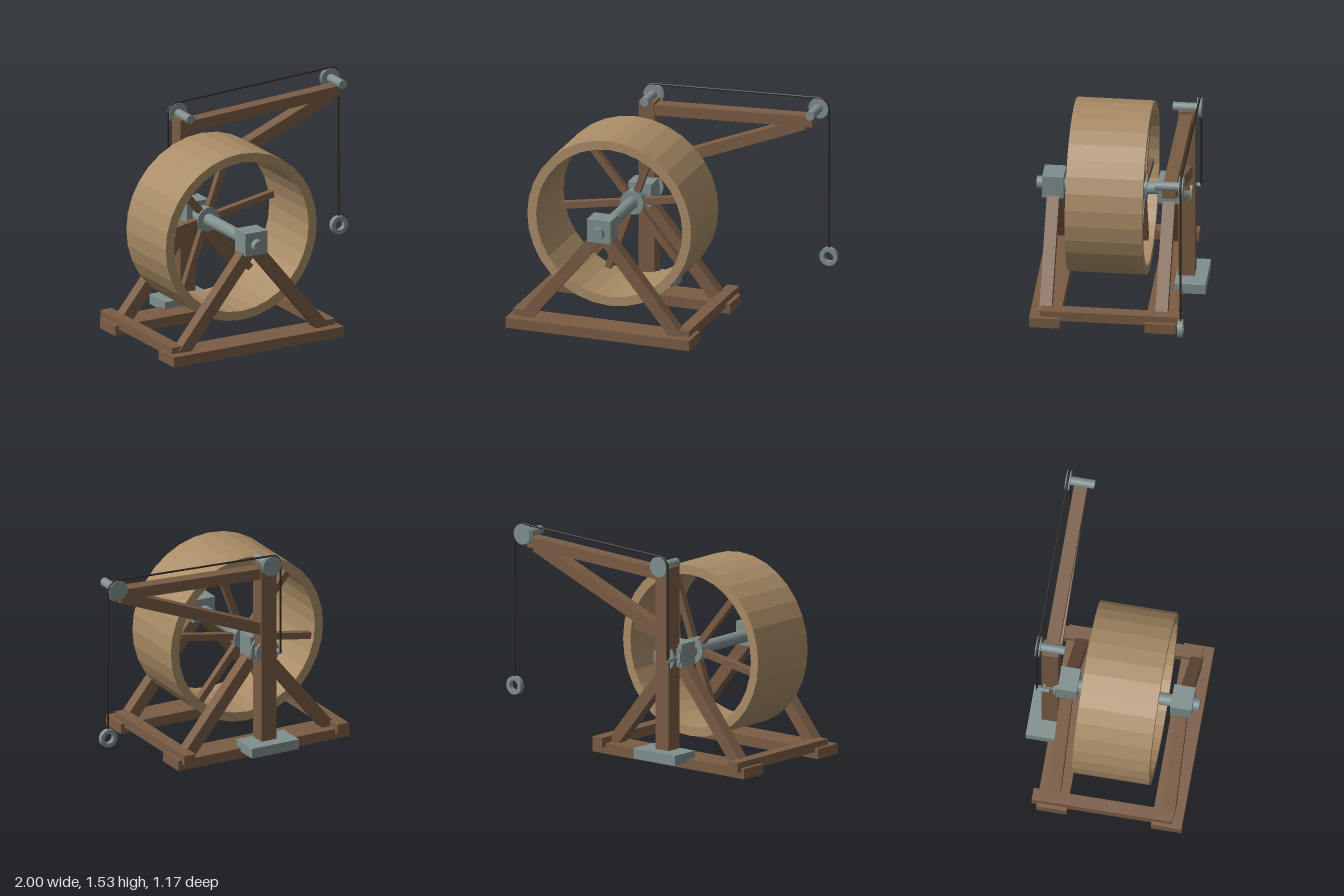
import * as THREE from 'three';
import { toCreasedNormals } from 'three/addons/utils/BufferGeometryUtils.js';

const make = (name, color) => {
  const m = new THREE.MeshStandardMaterial({ color });
  m.name = name;
  return m;
};

export function createModel() {
  const model = new THREE.Group();
  model.name = 'treadwheelCrane';
  const wood = make('dark wood', 0x7a5c44);
  const paleWood = make('pale wood', 0xa98c66);
  const metal = make('grey metal', 0x7f8f8e);
  const ropeMat = make('dark rope', 0x2c2822);

  const add = (name, geo, mat) => {
    const mesh = new THREE.Mesh(geo, mat);
    mesh.name = name;
    model.add(mesh);
    return mesh;
  };
  // Box given by its limits on each axis
  const box = (name, mat, x0, x1, y0, y1, z0, z1) =>
    add(name, new THREE.BoxGeometry(x1 - x0, y1 - y0, z1 - z0), mat)
      .position.set((x0 + x1) / 2, (y0 + y1) / 2, (z0 + z1) / 2);
  // Beam in the xy plane between two points
  const beam = (name, mat, ax, ay, bx, by, thick, z0, z1) => {
    const m = add(name, new THREE.BoxGeometry(Math.hypot(bx - ax, by - ay), thick, z1 - z0), mat);
    m.position.set((ax + bx) / 2, (ay + by) / 2, (z0 + z1) / 2);
    m.rotation.z = Math.atan2(by - ay, bx - ax);
  };
  // Round bar along z
  const rod = (name, mat, x, y, r, z0, z1) =>
    add(name, new THREE.CylinderGeometry(r, r, z1 - z0, 24).rotateX(Math.PI / 2), mat)
      .position.set(x, y, (z0 + z1) / 2);
  // Turned part along z; profile is [radius, z] with z rising along the outside
  const turned = (name, mat, x, y, profile, segments, crease) => {
    const pts = profile.map(([r, z]) => new THREE.Vector2(r, z));
    const geo = new THREE.LatheGeometry(pts, segments).rotateX(Math.PI / 2);
    add(name, toCreasedNormals(geo, crease), mat).position.set(x, y, 0);
  };

  const cx = -0.335, cy = 0.757;

  // Base frame
  box('frontRail', wood, -1, 0.333, 0, 0.072, 0.362, 0.571);
  box('backRail', wood, -1, 0.333, 0, 0.072, -0.428, -0.219);
  for (const x of [-0.93, 0.262]) box('crossBeam', wood, x - 0.043, x + 0.043, 0.045, 0.115, -0.464, 0.5);

  // A-frame legs and bearing blocks, front and back
  for (const z of [0.468, -0.322]) {
    for (const s of [-1, 1])
      beam('leg', wood, cx, 0.74, cx + s * 0.555, 0.06, 0.085, z - 0.042, z + 0.042);
    box('bearingBlock', metal, cx - 0.085, cx + 0.085, 0.686, 0.848, z - 0.073, z + 0.073);
  }

  // Treadwheel with spokes and hub near its back
  turned('wheelDrum', paleWood, cx, cy,
    [[0.53, -0.193], [0.594, -0.193], [0.594, 0.336], [0.53, 0.336], [0.53, -0.193]], 32, 0.1);
  for (let i = 0; i < 6; i++) {
    const a = (10 + 60 * i) * Math.PI / 180, c = Math.cos(a), s = Math.sin(a);
    beam('spoke', wood, cx + 0.04 * c, cy + 0.04 * s, cx + 0.54 * c, cy + 0.54 * s, 0.046, -0.158, -0.112);
  }
  rod('hub', metal, cx, cy, 0.085, -0.17, -0.1);
  rod('axle', metal, cx, cy, 0.043, -0.47, 0.585);

  // Rope spool on the back end of the axle
  turned('spool', metal, cx, cy, [[0, -0.481], [0.09, -0.481], [0.09, -0.465], [0.063, -0.465],
    [0.063, -0.412], [0.09, -0.412], [0.09, -0.396], [0, -0.396]], 24, 0.6);
  rod('ropeGuide', metal, -0.408, cy, 0.014, -0.525, -0.44);

  // Mast, foot plate, jib and brace
  box('footPlate', metal, -0.52, -0.153, 0.05, 0.12, -0.583, -0.37);
  box('mast', wood, -0.392, -0.277, 0.12, 1.392, -0.497, -0.381);
  beam('jib', wood, cx, 1.332, 0.862, 1.393, 0.077, -0.483, -0.392);
  beam('brace', wood, cx, 0.912, 0.8, 1.37, 0.08, -0.482, -0.393);

  // Grooved pulleys on pins
  const pulleys = [[cx, 1.4], [0.863, 1.452]];
  for (const [x, y] of pulleys) {
    rod('pulleyPin', metal, x, y, 0.031, -0.515, -0.343);
    turned('pulley', metal, x, y, [[0, -0.541], [0.071, -0.541], [0.071, -0.534], [0.064, -0.531],
      [0.064, -0.519], [0.071, -0.516], [0.071, -0.509], [0, -0.509]], 28, 0.6);
  }

  // Rope from the spool, over both pulleys and down to the ring
  const rz = -0.525, rr = 0.072, tilt = 92.5;
  const pts = [new THREE.Vector3(cx - rr, cy, rz)];
  const arc = ([x, y], from, to) => {
    for (let i = 0; i <= 10; i++) {
      const a = (from + (to - from) * i / 10) * Math.PI / 180;
      pts.push(new THREE.Vector3(x + rr * Math.cos(a), y + rr * Math.sin(a), rz));
    }
  };
  arc(pulleys[0], 180, tilt);
  arc(pulleys[1], tilt, 0);
  pts.push(new THREE.Vector3(0.863 + rr, 0.44, rz));
  const path = new THREE.CurvePath();
  for (let i = 1; i < pts.length; i++) path.add(new THREE.LineCurve3(pts[i - 1], pts[i]));
  add('rope', new THREE.TubeGeometry(path, 240, 0.007, 8), ropeMat);

  // Lifting ring
  turned('liftingRing', metal, 0.935, 0.39,
    [[0.035, -0.542], [0.064, -0.542], [0.064, -0.507], [0.035, -0.507], [0.035, -0.542]], 24, 0.6);

  return model;
}
